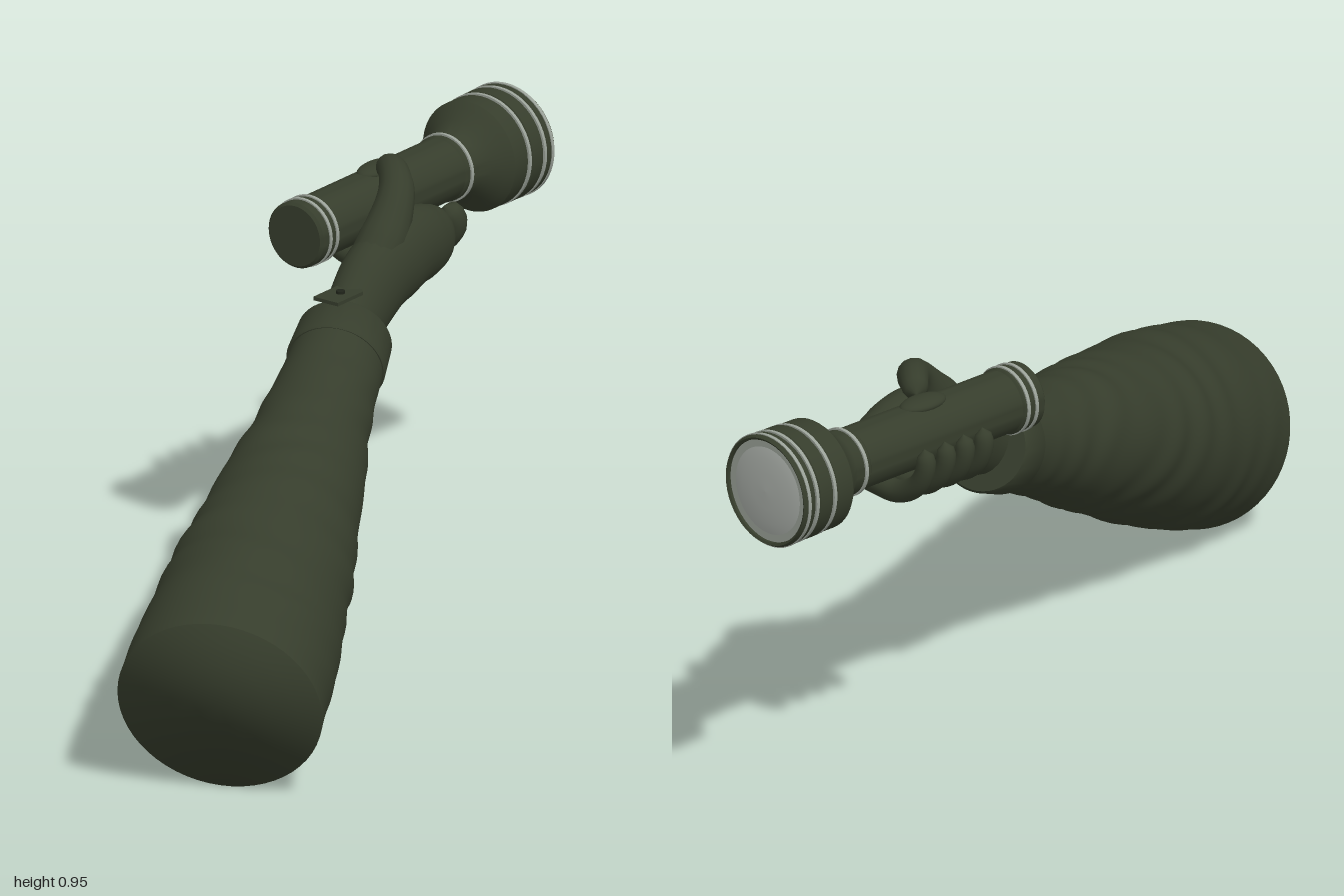
import * as THREE from 'three';
import { mergeVertices, toCreasedNormals } from 'three/addons/utils/BufferGeometryUtils.js';

const flat = (name, color) => {
  const m = new THREE.MeshStandardMaterial({ color });
  m.name = name;
  return m;
};
const V = (x, y, z) => new THREE.Vector3(x, y, z);

// drop the seam so normals are smooth all round
function smooth(geo) {
  geo.deleteAttribute('uv');
  geo.deleteAttribute('normal');
  const g = mergeVertices(geo, 1e-5);
  g.computeVertexNormals();
  return g;
}

// piecewise linear value through evenly spaced samples
function sample(list, t) {
  const f = t * (list.length - 1), i = Math.min(Math.floor(f), list.length - 2);
  return list[i] + (list[i + 1] - list[i]) * (f - i);
}

// rounded, tapering tube; squash narrows it sideways
function limb(points, radii, { segs = 24, sides = 14, squash = 1, cap = 0.1 } = {}) {
  const curve = new THREE.CatmullRomCurve3(points.map(p => V(...p)));
  const geo = new THREE.TubeGeometry(curve, segs, 1, sides);
  const pos = geo.attributes.position, v = V(0, 0, 0);
  for (let i = 0; i <= segs; i++) {
    const t = i / segs, c = curve.getPointAt(t);
    const e = Math.max(0, 1 - Math.min(t, 1 - t) / cap);
    const r = Math.max(0.0004, sample(radii, t) * Math.sqrt(1 - e * e));
    for (let j = 0; j <= sides; j++) {
      const k = i * (sides + 1) + j;
      v.fromBufferAttribute(pos, k).sub(c).multiplyScalar(r);
      v.x *= squash;
      v.add(c);
      pos.setXYZ(k, v.x, v.y, v.z);
    }
  }
  return smooth(geo);
}

const lathe = (pts, n = 48) => new THREE.LatheGeometry(pts.map(p => new THREE.Vector2(...p)), n);

export function createModel() {
  const root = new THREE.Group();
  const olive = flat('olive green', 0x363d2c);
  const silver = flat('silver grey', 0x9aa198);
  const glass = flat('lens grey', 0xa9aea8);
  const dark = flat('dark button', 0x20241a);
  const add = (parent, name, geo, mat) => {
    const m = new THREE.Mesh(geo, mat);
    m.name = name;
    parent.add(m);
    return m;
  };

  // sleeve: wrist at the group origin, running along local +y to the shoulder end
  const wrist = V(-0.19, 0.63, -0.18), shoulder = V(0.277, 0.213, 0.885);
  const dir = shoulder.clone().sub(wrist), L = dir.length();
  const arm = new THREE.Group();
  arm.name = 'sleeveGroup';
  arm.position.copy(wrist);
  arm.quaternion.setFromUnitVectors(V(0, 1, 0), dir.normalize());
  root.add(arm);

  const girth = [0.1, 0.107, 0.124, 0.148, 0.169, 0.19, 0.207, 0.22, 0.225];
  const profile = [];
  for (let i = 0; i <= 90; i++) profile.push([sample(girth, i / 90), L * i / 90]);
  const sleeve = lathe(profile, 56), sp = sleeve.attributes.position;
  // soft cloth folds that wander around the arm
  for (let i = 0; i < sp.count; i++) {
    const x = sp.getX(i), y = sp.getY(i), z = sp.getZ(i), t = y / L, a = Math.atan2(z, x);
    const fade = Math.min(1, t * 8) * Math.min(1, (1 - t) * 6);
    const fold = Math.sin(t * 62 + 2.2 * Math.sin(a + 0.6) + 1.2 * Math.sin(2 * a + t * 9));
    const patch = 0.6 + 0.4 * Math.sin(2 * a - t * 17);
    const s = 1 + fade * (0.018 * patch * fold + 0.008 * Math.sin(3 * a + t * 25));
    sp.setXYZ(i, x * s, y, z * s);
  }
  add(arm, 'sleeve', smooth(sleeve), olive);

  // shoulder end, shaded softly into the sleeve wall
  const end = lathe([[0.225, L], [0.17, L], [0.11, L], [0.055, L], [0, L]], 56);
  const ep = end.attributes.position, en = end.attributes.normal;
  for (let i = 0; i < ep.count; i++) {
    const n = V(ep.getX(i) / 0.225, 1, ep.getZ(i) / 0.225).normalize();
    en.setXYZ(i, n.x, n.y, n.z);
  }
  add(arm, 'sleeveEnd', end, olive);

  // cuff band, closed across the wrist
  const cuff = lathe([[0, -0.018], [0.099, -0.018], [0.104, -0.011], [0.109, 0.075], [0.106, 0.082], [0.09, 0.082]]);
  add(arm, 'cuff', toCreasedNormals(cuff, 0.7), olive);

  // buttoned cuff tab
  const tab = new THREE.Shape();
  [[-0.033, -0.05], [0.033, -0.05], [0.033, 0.04], [0.023, 0.05], [-0.023, 0.05], [-0.033, 0.04]]
    .forEach(([x, y], i) => (i ? tab.lineTo(x, y) : tab.moveTo(x, y)));
  const tabGeo = new THREE.ExtrudeGeometry(tab, { depth: 0.008, bevelEnabled: false });
  tabGeo.rotateX(-Math.PI / 2);
  add(root, 'cuffTab', tabGeo, olive).position.set(-0.187, 0.738, -0.162);
  add(root, 'cuffButton', new THREE.CylinderGeometry(0.01, 0.01, 0.008, 16), dark).position.set(-0.187, 0.748, -0.165);

  // gloved hand
  const hand = new THREE.Group();
  hand.name = 'hand';
  root.add(hand);
  add(hand, 'palm', limb(
    [[-0.175, 0.61, -0.11], [-0.197, 0.665, -0.22], [-0.214, 0.73, -0.33], [-0.222, 0.757, -0.44],
      [-0.232, 0.752, -0.53], [-0.245, 0.755, -0.612]],
    [0.08, 0.08, 0.092, 0.098, 0.086, 0.06], { segs: 36, sides: 24, squash: 0.74, cap: 0.12 }), olive);
  add(hand, 'thumb', limb(
    [[-0.215, 0.745, -0.3], [-0.222, 0.825, -0.38], [-0.243, 0.885, -0.44], [-0.287, 0.91, -0.487], [-0.34, 0.897, -0.53]],
    [0.055, 0.054, 0.043, 0.034, 0.027]), olive);

  // four fingers wrapped under the barrel
  [-0.448, -0.504, -0.56, -0.62].forEach((z, i) => {
    add(hand, 'finger' + (i + 1), limb(
      [[-0.235, 0.808, z + 0.02], [-0.225, 0.77, z], [-0.25, 0.728, z], [-0.305, 0.716, z], [-0.38, 0.713, z],
        [-0.442, 0.75, z], [-0.464, 0.8, z], [-0.458, 0.835, z]],
      [0.03, 0.031, 0.03, 0.027, 0.025, 0.024, 0.022, 0.02], { segs: 28, cap: 0.07 }), olive);
  });

  // flashlight, pointing to -z
  const torch = new THREE.Group();
  torch.name = 'flashlight';
  torch.position.set(-0.36, 0.819, 0);
  root.add(torch);
  const body = lathe([[0, 0.232], [0.068, 0.232], [0.074, 0.238], [0.074, 0.295], [0.07, 0.299], [0.07, 0.75],
    [0.073, 0.754], [0.073, 0.795], [0.09, 0.822], [0.112, 0.842], [0.124, 0.856], [0.124, 0.9], [0.121, 0.903],
    [0.121, 0.915], [0.126, 0.918], [0.126, 0.953], [0.122, 0.956], [0.122, 0.968], [0.126, 0.971],
    [0.126, 0.992], [0.121, 1.0], [0.116, 0.997], [0.115, 0.984], [0, 0.984]]);
  body.rotateX(-Math.PI / 2);
  add(torch, 'flashlightBody', toCreasedNormals(body, 0.6), olive);

  const lens = lathe([[0.116, 0.985], [0.105, 0.99], [0.075, 0.995], [0.04, 0.998], [0, 0.999]]);
  lens.rotateX(-Math.PI / 2);
  add(torch, 'lens', lens, glass);

  // metal trim bands: [z, radius]
  [[-0.262, 0.077], [-0.286, 0.077], [-0.768, 0.077], [-0.909, 0.126], [-0.962, 0.127], [-0.987, 0.128]]
    .forEach(([z, r]) => {
      const band = new THREE.CylinderGeometry(r, r, 0.008, 48);
      band.rotateX(Math.PI / 2);
      // the front band is a hoop so that the lens stays clear
      add(torch, 'trimBand', band, silver).position.z = z;
    });

  // oval thumb switch on top of the barrel
  const knob = add(torch, 'switch', new THREE.SphereGeometry(1, 24, 14), olive);
  knob.scale.set(0.034, 0.016, 0.062);
  knob.position.set(0, 0.067, -0.53);

  return root;
}
